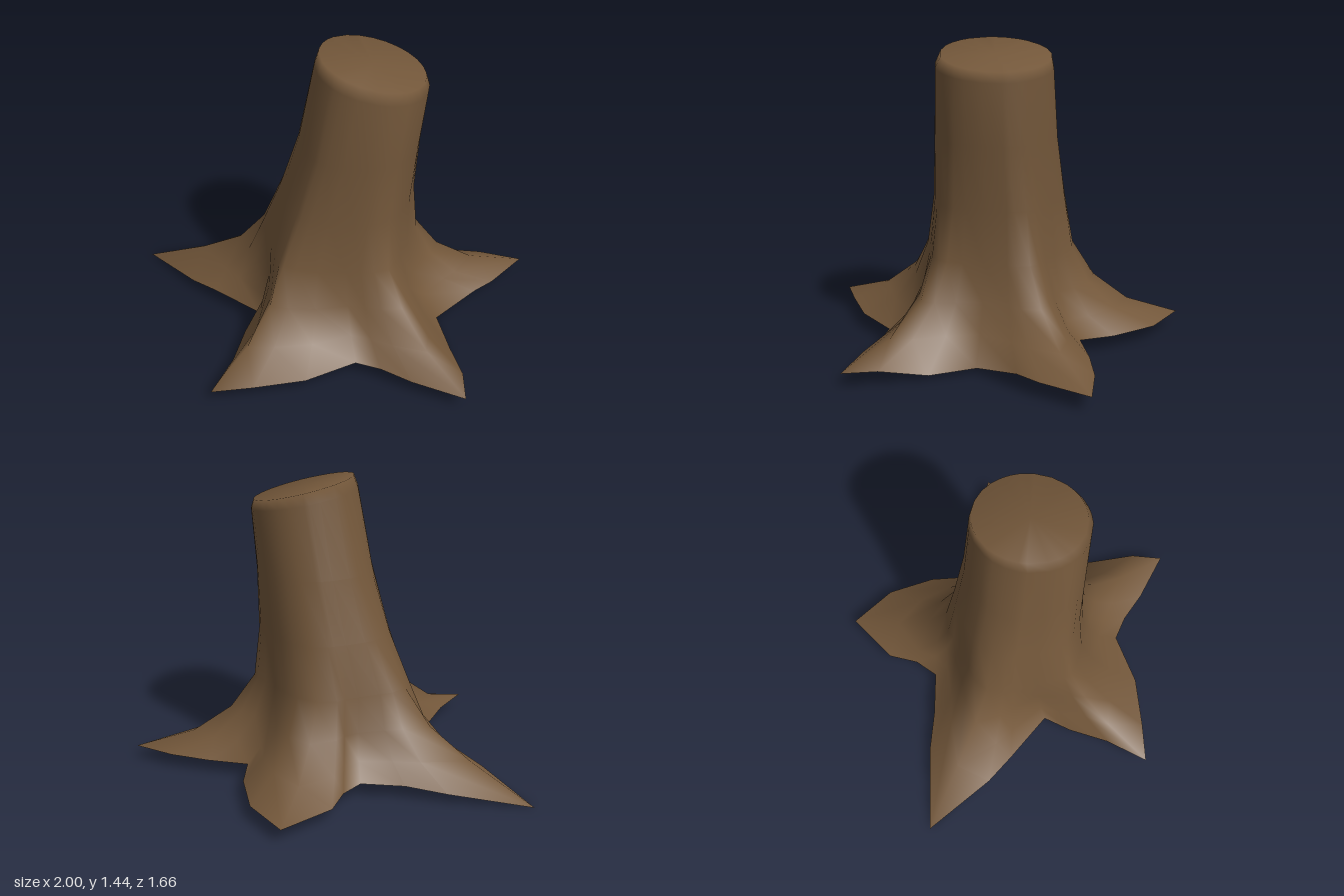
import * as THREE from 'three';

// Foot outline [x, z], clockwise from the back root: tip, two side points, notch, two side points
const OUTLINE = [
  [0.07, -0.83], [0.26, -0.66], [0.36, -0.44], [0.39, -0.27], [0.59, -0.27], [0.79, -0.25],
  [1.0, -0.19], [0.83, 0.0], [0.73, 0.08], [0.53, 0.23], [0.58, 0.45], [0.62, 0.67],
  [0.62, 0.83], [0.38, 0.73], [0.24, 0.65], [0.12, 0.61], [-0.11, 0.73], [-0.35, 0.78],
  [-0.54, 0.81], [-0.46, 0.6], [-0.42, 0.4], [-0.37, 0.26], [-0.6, 0.1], [-0.73, 0.0],
  [-1.0, -0.28], [-0.6, -0.33], [-0.4, -0.33], [-0.19, -0.35], [-0.13, -0.46], [-0.11, -0.61],
];
// Foot heights that differ from the usual 0.07
const LOW = { 9: 0.02, 10: 0.02, 23: 0.05, 24: 0.0, 25: 0.05 };

// Trunk rings from the rim down: height, x range, z range, depth of the grooves between roots
const TRUNK = [
  { y: 1.43, x: [-0.06, 0.42], z: [-0.16, 0.35], groove: 0, slope: 0.24 },
  { y: 1.37, x: [-0.08, 0.435], z: [-0.17, 0.375], groove: 0, slope: 0.2 },
  { y: 1.0, x: [-0.16, 0.41], z: [-0.2, 0.385], groove: 0.02, slope: 0 },
  { y: 0.7, x: [-0.26, 0.4], z: [-0.25, 0.4], groove: 0.06, slope: 0 },
  { y: 0.45, x: [-0.37, 0.43], z: [-0.3, 0.45], groove: 0.12, slope: 0 },
];
// Flare of the roots: share of the way out to the foot outline, height
const FLARE = [[0.2, 0.28], [0.52, 0.15], [1, 0.07]];

function trunkPoint(ring, i) {
  const [bx, bz] = OUTLINE[i];
  const cx = (ring.x[0] + ring.x[1]) / 2, cz = (ring.z[0] + ring.z[1]) / 2;
  const rx = (ring.x[1] - ring.x[0]) / 2, rz = (ring.z[1] - ring.z[0]) / 2;
  const a = Math.atan2(bz - 0.08, bx - 0.06);
  const toNotch = (1 - Math.cos((i / 6) * Math.PI * 2)) / 2;
  const k = 1 - ring.groove * toNotch;
  const x = cx + Math.cos(a) * rx * k;
  return [x, ring.y - ring.slope * x, cz + Math.sin(a) * rz * k];
}

function stumpGeometry() {
  const n = OUTLINE.length, pos = [], index = [];
  for (const ring of TRUNK) {
    for (let i = 0; i < n; i++) pos.push(...trunkPoint(ring, i));
  }
  for (const [f, y] of FLARE) {
    for (let i = 0; i < n; i++) {
      const p = trunkPoint(TRUNK[TRUNK.length - 1], i);
      const [bx, bz] = OUTLINE[i];
      const h = f === 1 ? (LOW[i] ?? y) : y;
      pos.push(p[0] + (bx - p[0]) * f, h, p[2] + (bz - p[2]) * f);
    }
  }
  // Bark skin between neighbouring rings
  const rings = TRUNK.length + FLARE.length;
  for (let r = 0; r < rings - 1; r++) {
    for (let i = 0; i < n; i++) {
      const j = (i + 1) % n;
      const a = r * n + i, b = r * n + j, c = a + n, d = b + n;
      index.push(a, b, c, b, d, c);
    }
  }
  // Slanted cut top, sharing the rim so it shades softly
  const centre = pos.length / 3;
  pos.push(0.18, 1.43 - 0.24 * 0.18, 0.1);
  for (let i = 0; i < n; i++) index.push(centre, (i + 1) % n, i);

  const g = new THREE.BufferGeometry();
  g.setAttribute('position', new THREE.Float32BufferAttribute(pos, 3));
  g.setIndex(index);
  g.computeVertexNormals();
  return g;
}

export function createModel() {
  const bark = new THREE.MeshStandardMaterial({ color: 0x73573a, side: THREE.DoubleSide });
  bark.name = 'bark brown';
  const stump = new THREE.Mesh(stumpGeometry(), bark);
  stump.name = 'trunkAndRoots';
  const group = new THREE.Group();
  group.name = 'treeStump';
  group.add(stump);
  return group;
}
